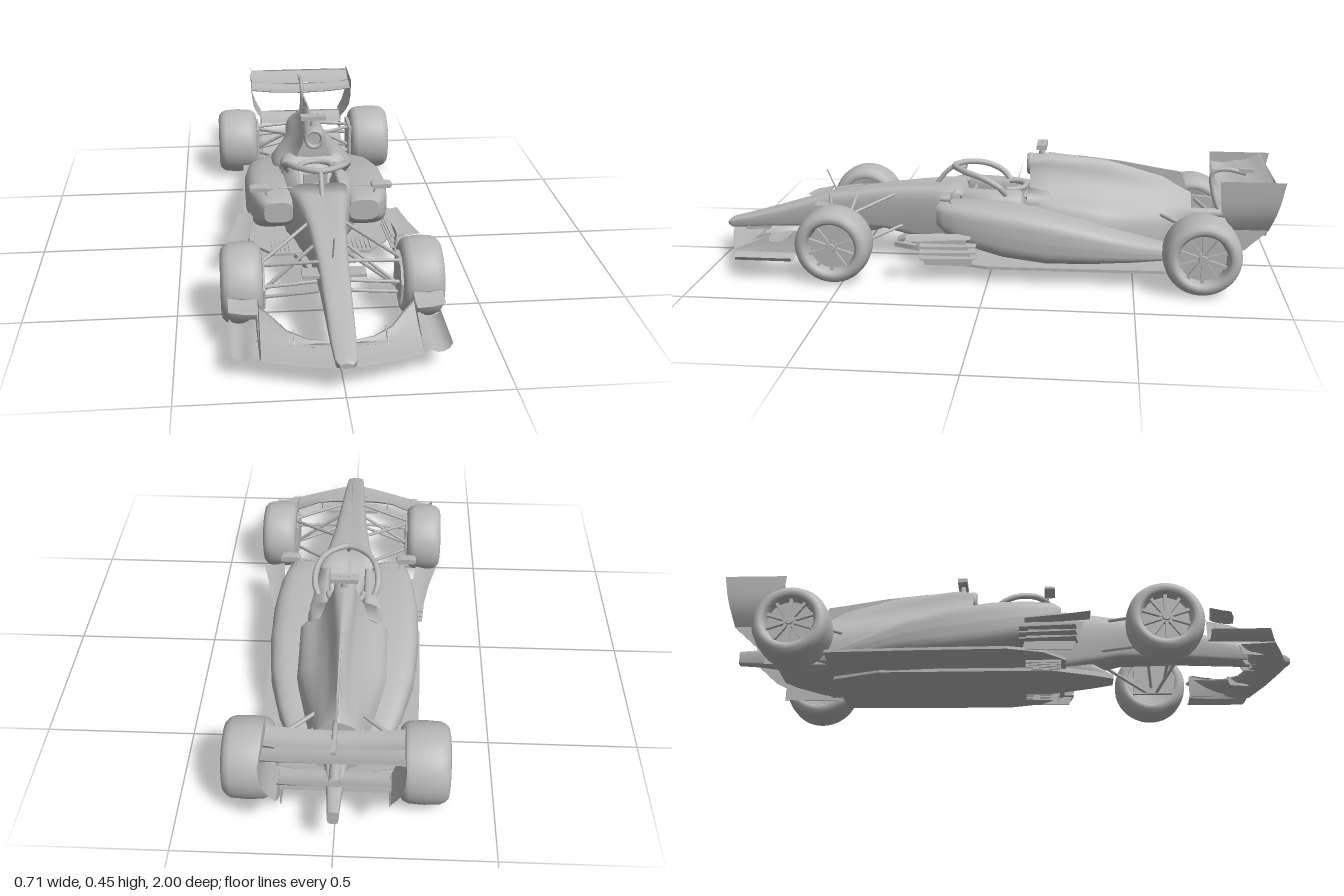
import * as THREE from 'three';

const V = (a) => new THREE.Vector3(...a);

export function createModel() {
  const car = new THREE.Group();
  car.name = 'racingCar';
  const grey = new THREE.MeshStandardMaterial({ color: 0xb8b8b8, side: THREE.DoubleSide });
  grey.name = 'plainGrey';

  const add = (name, geo, parent = car) => {
    const m = new THREE.Mesh(geo, grey);
    m.name = name;
    parent.add(m);
  };
  // Group on the left (+x) plus its mirror on the right
  const pair = (name, build) => [1, -1].forEach((s) => {
    const g = new THREE.Group();
    g.name = (s > 0 ? 'left' : 'right') + name;
    g.scale.x = s;
    build(g);
    car.add(g);
  });
  // Smooth skin through rows of points
  const skin = (rows) => {
    const n = rows[0].length, idx = [];
    for (let i = 0; i < rows.length - 1; i++) for (let j = 0; j < n - 1; j++) {
      const a = i * n + j, b = a + n;
      idx.push(a, a + 1, b, a + 1, b + 1, b);
    }
    const g = new THREE.BufferGeometry();
    g.setAttribute('position', new THREE.Float32BufferAttribute(rows.flat(2), 3));
    g.setIndex(idx);
    g.computeVertexNormals();
    return g;
  };
  // Closed body from half sections [z, [x, y]...] listed from top centre to bottom centre
  const hull = (stations) => {
    const rings = stations.map(([z, ...h]) => {
      const other = h.slice(1, -1).reverse().map(([x, y]) => [-x, y]);
      const c = new THREE.CatmullRomCurve3([...h, ...other].map(([x, y]) => V([x, y, z])), true);
      return Array.from({ length: 49 }, (_, i) => c.getPoint(i / 48).toArray());
    });
    const cap = (r) => r.map(() => [0, (r[0][1] + r[24][1]) / 2, r[0][2]]);
    return skin([cap(rings[0]), rings[0], ...rings, rings.at(-1), cap(rings.at(-1))]);
  };
  // Rounded pod: [z, xInner, xOuter, yBottom, yTop]
  const pod = (stations) => {
    const rows = stations.map(([z, x0, x1, y0, y1]) => Array.from({ length: 33 }, (_, i) => {
      const t = i / 32 * Math.PI * 2, p = (v) => Math.sign(v) * Math.abs(v) ** 0.6;
      return [(x0 + x1) / 2 + p(Math.cos(t)) * (x1 - x0) / 2, (y0 + y1) / 2 + p(Math.sin(t)) * (y1 - y0) / 2, z];
    }));
    const cap = ([z, x0, x1, y0, y1]) => rows[0].map(() => [(x0 + x1) / 2, (y0 + y1) / 2, z]);
    return skin([cap(stations[0]), rows[0], ...rows, rows.at(-1), cap(stations.at(-1))]);
  };
  const extrude = (pts, t) => new THREE.ExtrudeGeometry(
    new THREE.Shape(pts.map((p) => new THREE.Vector2(...p))), { depth: t, bevelEnabled: false });
  const flat = (pts, y, t) => extrude(pts, t).rotateX(Math.PI / 2).translate(0, y, 0); // points are x, z
  const upright = (pts, x, t) => extrude(pts, t).rotateY(-Math.PI / 2).translate(x + t / 2, 0, 0); // points are z, y
  const box = (w, h, d, x, y, z) => new THREE.BoxGeometry(w, h, d).translate(x, y, z);
  const tube = (pts, r, n = 24) => new THREE.TubeGeometry(new THREE.CatmullRomCurve3(pts.map(V)), n, r, 8);
  const rod = (a, b, r) => new THREE.TubeGeometry(new THREE.LineCurve3(V(a), V(b)), 1, r, 8);
  const symmetric = (pts) => [...pts, ...pts.map(([x, z]) => [-x, z]).reverse()];

  // Nose, chassis and cockpit tub with sunken opening
  const nose = (z, w, y0, y1) => [z, [0, y1], [w * 0.8, y1 - 0.004], [w, y1 - (y1 - y0) * 0.2],
    [w * 0.9, y0 + (y1 - y0) * 0.2], [w * 0.75, y0 + 0.003], [0, y0]];
  const tub = (z, w, dip, y1) => [z, [0, dip], [0.058, dip + 0.005], [0.068, y1], [w, y1 - 0.035], [w, 0.09], [0, 0.05]];
  add('noseAndTub', hull([
    nose(1, 0.02, 0.1, 0.118), nose(0.985, 0.032, 0.092, 0.128), nose(0.9, 0.038, 0.098, 0.15),
    nose(0.8, 0.042, 0.105, 0.178), nose(0.6, 0.05, 0.115, 0.238), nose(0.4, 0.064, 0.115, 0.268),
    nose(0.28, 0.08, 0.09, 0.28), nose(0.2, 0.095, 0.07, 0.285), nose(0.115, 0.11, 0.06, 0.287),
    tub(0.095, 0.115, 0.17, 0.285), tub(0, 0.125, 0.16, 0.28), tub(-0.1, 0.13, 0.17, 0.28),
    nose(-0.125, 0.13, 0.05, 0.29), nose(-0.2, 0.13, 0.05, 0.28)]));
  add('seat', box(0.09, 0.09, 0.02, 0, 0.2, -0.08));
  add('headrest', new THREE.TorusGeometry(0.062, 0.01, 8, 24, Math.PI).rotateX(-Math.PI / 2).translate(0, 0.28, -0.05));
  add('steeringWheel', box(0.07, 0.035, 0.01, 0, 0.25, 0.07));

  // Engine cover with spine fin
  add('engineCover', hull([
    [-0.13, [0, 0.398], [0.032, 0.385], [0.042, 0.345], [0.075, 0.28], [0.12, 0.23], [0.12, 0.07], [0, 0.05]],
    [-0.2, [0, 0.404], [0.032, 0.39], [0.046, 0.345], [0.085, 0.28], [0.15, 0.24], [0.15, 0.07], [0, 0.05]],
    [-0.4, [0, 0.385], [0.016, 0.365], [0.038, 0.31], [0.08, 0.26], [0.145, 0.2], [0.15, 0.06], [0, 0.05]],
    [-0.6, [0, 0.33], [0.012, 0.305], [0.035, 0.27], [0.07, 0.23], [0.09, 0.17], [0.09, 0.06], [0, 0.055]],
    [-0.7, [0, 0.27], [0.02, 0.265], [0.05, 0.25], [0.07, 0.22], [0.075, 0.16], [0.065, 0.08], [0, 0.07]]]));
  add('spineFin', upright([[-0.3, 0.37], [-0.3, 0.396], [-0.45, 0.38], [-0.58, 0.358], [-0.665, 0.345], [-0.695, 0.26], [-0.58, 0.29]], 0, 0.006));
  add('airIntake', new THREE.TorusGeometry(0.03, 0.008, 10, 24).scale(1, 1.05, 1.6).translate(0, 0.362, -0.13));
  add('cameraMast', new THREE.CylinderGeometry(0.007, 0.013, 0.04, 12).translate(0, 0.415, -0.17));
  add('cameraPod', box(0.094, 0.016, 0.035, 0, 0.432, -0.17));
  [-0.016, 0.016].forEach((x) => add('aerial', new THREE.ConeGeometry(0.003, 0.012, 6).translate(x, 0.445, -0.17)));
  add('noseProbe', rod([0, 0.24, 0.585], [0, 0.322, 0.62], 0.0025));

  // Cockpit hoop
  add('cockpitHoop', tube([[-0.1, 0.27, -0.05], [-0.112, 0.3, -0.025], [-0.108, 0.33, 0.03], [-0.075, 0.345, 0.1], [0, 0.348, 0.145],
    [0.075, 0.345, 0.1], [0.108, 0.33, 0.03], [0.112, 0.3, -0.025], [0.1, 0.27, -0.05]], 0.011, 64));
  add('hoopPillar', tube([[0, 0.348, 0.145], [0, 0.325, 0.175], [0, 0.275, 0.215]], 0.008));

  // Floor, keel, diffuser and tail
  add('floor', flat(symmetric([[0.17, 0.2], [0.24, 0.12], [0.272, 0], [0.268, -0.3], [0.258, -0.62]]), 0.062, 0.01));
  add('keelTray', flat(symmetric([[0.03, 0.37], [0.06, 0.3], [0.11, 0.15], [0.11, -0.45], [0.05, -0.62]]), 0.058, 0.018));
  add('keel', hull([nose(0.36, 0.02, 0.045, 0.07), nose(0.28, 0.045, 0.045, 0.11), nose(0.15, 0.09, 0.045, 0.15)]));
  add('diffuser', skin([[-0.6, 0.055], [-0.7, 0.07], [-0.8, 0.1], [-0.845, 0.12]].map(([z, y]) => [[-0.17, y, z], [0, y, z], [0.17, y, z]])));
  add('gearbox', hull([nose(-0.66, 0.05, 0.08, 0.2), nose(-0.78, 0.035, 0.1, 0.19), nose(-0.9, 0.022, 0.115, 0.175), nose(-0.975, 0.018, 0.12, 0.172)]));
  add('exhaust', new THREE.CylinderGeometry(0.018, 0.018, 0.22, 20, 1, true).rotateX(Math.PI / 2).translate(0, 0.195, -0.77));

  pair('Sidepod', (g) => {
    add('pod', pod([[0.185, 0.1, 0.2, 0.175, 0.25], [0.16, 0.09, 0.222, 0.155, 0.26], [0.08, 0.08, 0.245, 0.11, 0.262],
      [-0.05, 0.06, 0.26, 0.075, 0.256], [-0.2, 0.04, 0.26, 0.055, 0.235], [-0.35, 0.03, 0.245, 0.055, 0.198],
      [-0.5, 0.02, 0.205, 0.055, 0.15], [-0.62, 0.02, 0.155, 0.055, 0.11], [-0.68, 0.02, 0.09, 0.06, 0.1]]), g);
    // Mirror, stalk and arm
    add('mirror', pod([[0.165, 0.18, 0.248, 0.283, 0.299], [0.15, 0.177, 0.251, 0.281, 0.301], [0.13, 0.178, 0.25, 0.281, 0.301]]), g);
    add('mirrorStalk', rod([0.185, 0.245, 0.13], [0.195, 0.285, 0.145], 0.003), g);
    add('mirrorArm', rod([0.1, 0.283, 0.13], [0.185, 0.287, 0.145], 0.002), g);
    // Stacked side vanes
    [0.09, 0.112, 0.134].forEach((y) => add('sideVane', flat([[0.23, 0.04], [0.28, 0.04], [0.295, 0.23], [0.24, 0.24]], y, 0.005), g));
    add('topVane', skin([[0.06, 0.235, 0.285], [0.17, 0.24, 0.305], [0.28, 0.255, 0.333]].map(([z, a, b]) => [[a, 0.165, z], [(a + b) / 2, 0.155, z], [b, 0.16, z]])), g);
    add('vanePost', upright([[0.05, 0.055], [0.22, 0.055], [0.26, 0.157], [0.08, 0.157]], 0.255, 0.004), g);
    for (let i = 0; i < 5; i++) {
      add('floorFence', upright([[0.06, 0.045], [0.18, 0.04], [0.19, 0.072], [0.06, 0.06]], 0.115 + i * 0.015, 0.003), g);
    }
    add('diffuserFence', upright([[-0.62, 0.045], [-0.84, 0.05], [-0.84, 0.118], [-0.7, 0.07]], 0.17, 0.004), g);
    add('noseWinglet', box(0.055, 0.011, 0.055, 0.073, 0.205, 0.62), g);
  });

  // Wheels: tyre, rim, hub and spokes turned about x
  const wheel = (g, x0, x1, z) => {
    const h = (x1 - x0) / 2, w = new THREE.Group();
    w.name = 'wheel';
    w.position.set((x0 + x1) / 2, 0.134, z);
    g.add(w);
    const lathe = (pts) => new THREE.LatheGeometry(pts.map((p) => new THREE.Vector2(...p)), 48).rotateZ(-Math.PI / 2);
    add('tyre', lathe([[0.088, -h + 0.01], [0.094, -h], [0.11, -h + 0.003], [0.122, -h + 0.014], [0.129, -h + 0.03], [0.132, 0],
      [0.129, h - 0.03], [0.122, h - 0.014], [0.11, h - 0.003], [0.094, h], [0.088, h - 0.01]]), w);
    add('rim', lathe([[0, -h + 0.025], [0.08, -h + 0.02], [0.089, -h + 0.008], [0.084, -h + 0.02], [0.078, h - 0.04],
      [0.084, h - 0.012], [0.09, h - 0.006]]), w);
    add('brakeDisc', lathe([[0, h - 0.038], [0.079, h - 0.038]]), w);
    add('hub', new THREE.CylinderGeometry(0.014, 0.022, 0.03, 16).rotateZ(-Math.PI / 2).translate(h - 0.026, 0, 0), w);
    for (let i = 0; i < 10; i++) add('spoke', box(0.012, 0.066, 0.011, h - 0.023, 0.048, 0).rotateX(i * Math.PI / 5), w);
  };
  const arms = (g, r, list) => list.forEach(([a, b]) => add('suspensionArm', rod(a, b, r), g));
  pair('FrontCorner', (g) => {
    wheel(g, 0.222, 0.355, 0.53);
    arms(g, 0.006, [[[0.045, 0.235, 0.6], [0.225, 0.2, 0.545]], [[0.065, 0.25, 0.36], [0.225, 0.2, 0.525]],
      [[0.045, 0.13, 0.6], [0.23, 0.085, 0.545]], [[0.06, 0.135, 0.33], [0.23, 0.085, 0.52]],
      [[0.045, 0.155, 0.58], [0.23, 0.14, 0.58]], [[0.055, 0.24, 0.5], [0.225, 0.1, 0.53]]]);
    add('brakeDuct', upright([[0.46, 0.08], [0.61, 0.08], [0.62, 0.15], [0.59, 0.2], [0.47, 0.2]], 0.222, 0.014), g);
  });
  pair('RearCorner', (g) => {
    wheel(g, 0.198, 0.356, -0.725);
    arms(g, 0.007, [[[0.06, 0.21, -0.58], [0.21, 0.19, -0.71]], [[0.04, 0.19, -0.77], [0.21, 0.19, -0.73]],
      [[0.07, 0.11, -0.54], [0.21, 0.09, -0.71]], [[0.04, 0.11, -0.78], [0.21, 0.09, -0.73]],
      [[0.06, 0.2, -0.64], [0.21, 0.1, -0.7]], [[0.035, 0.14, -0.8], [0.21, 0.14, -0.77]]]);
    add('brakeDuct', upright([[-0.64, 0.07], [-0.8, 0.07], [-0.8, 0.2], [-0.64, 0.21]], 0.195, 0.014), g);
  });

  // Wing element: stations [x, zLead, yLead, zTrail, yTrail], sagging by camber
  const wing = (stations, camber, t = 0.006) => skin(stations.map(([x, z0, y0, z1, y1]) =>
    Array.from({ length: 21 }, (_, i) => {
      const u = i <= 10 ? i / 10 : 2 - i / 10, s = Math.max(0, Math.sin(Math.PI * u));
      return [x, y0 + (y1 - y0) * u - camber * s + (i <= 10 ? t : -t) * Math.sqrt(s) / 2, z0 + (z1 - z0) * u];
    })));
  pair('FrontWing', (g) => {
    add('mainPlane', wing([[0, 0.985, 0.09, 0.86, 0.095], [0.06, 0.97, 0.087, 0.85, 0.094], [0.15, 0.94, 0.08, 0.84, 0.092],
      [0.25, 0.9, 0.075, 0.8, 0.085]], 0.005), g);
    add('innerFlap', wing([[0.04, 0.87, 0.094, 0.845, 0.098], [0.1, 0.865, 0.092, 0.835, 0.103], [0.16, 0.86, 0.09, 0.8, 0.115],
      [0.2, 0.84, 0.088, 0.745, 0.13], [0.245, 0.82, 0.086, 0.69, 0.145]], 0.008), g);
    // Upright endplate with curled footplate and outward blade
    add('endplate', skin([[0.9, 0.072, 0.085], [0.83, 0.07, 0.115], [0.75, 0.07, 0.145], [0.675, 0.075, 0.16]].map(([z, a, b]) =>
      [[0.25, a, z], [0.243, (a + b) / 2, z], [0.24, b, z]])), g);
    add('footplate', skin([[0.9, 0.87], [0.8, 0.8], [0.73, 0.73], [0.675, 0.675]].map(([a, b]) =>
      [[0.245, 0.08], [0.265, 0.082], [0.285, 0.07], [0.305, 0.068], [0.322, 0.074], [0.333, 0.088]].map(([x, y], i) => [x, y, a + (b - a) * i / 5]))), g);
    add('endplateBlade', wing([[0.243, 0.765, 0.15, 0.685, 0.163], [0.29, 0.76, 0.15, 0.68, 0.158], [0.333, 0.745, 0.15, 0.675, 0.165]], 0.004), g);
    add('wingFence', upright([[0.88, 0.075], [0.81, 0.08], [0.8, 0.115], [0.84, 0.11]], 0.14, 0.004), g);
    add('wingPylon', upright([[0.93, 0.085], [0.84, 0.09], [0.82, 0.12], [0.92, 0.12]], 0.028, 0.006), g);
  });

  // Rear wing with central swan neck
  const span = [-0.21, -0.12, 0, 0.12, 0.21];
  add('rearMainPlane', wing(span.map((x) => {
    const d = 0.014 * (1 - (x / 0.21) ** 2);
    return [x, -0.785, 0.335 - d, -0.885, 0.342 - d];
  }), 0.012, 0.01));
  add('rearFlap', wing(span.map((x) => [x, -0.87, 0.335, -0.965, 0.366]), 0.008));
  add('lowerRearWing', wing(span.map((x) => [x * 0.82, -0.81, 0.175, -0.9, 0.2]), 0.01));
  add('swanNeck', tube([[0, 0.17, -0.82], [0, 0.27, -0.78], [0, 0.345, -0.775], [0, 0.358, -0.82], [0, 0.345, -0.89]], 0.008));
  add('flapActuator', box(0.014, 0.014, 0.05, 0, 0.355, -0.89));
  pair('RearWingSide', (g) => {
    add('endplate', skin([[0.37, 0.212, -0.78, -0.998], [0.3, 0.211, -0.785, -0.985], [0.26, 0.205, -0.79, -0.975],
      [0.225, 0.192, -0.81, -0.965], [0.19, 0.172, -0.83, -0.955]].map(([y, x, a, b]) => [[x, y, a], [x, y, (a + b) / 2], [x, y, b]])), g);
    add('lowerEndplate', upright([[-0.84, 0.1], [-0.88, 0.12], [-0.955, 0.19], [-0.83, 0.19]], 0.172, 0.004), g);
  });
  return car;
}
